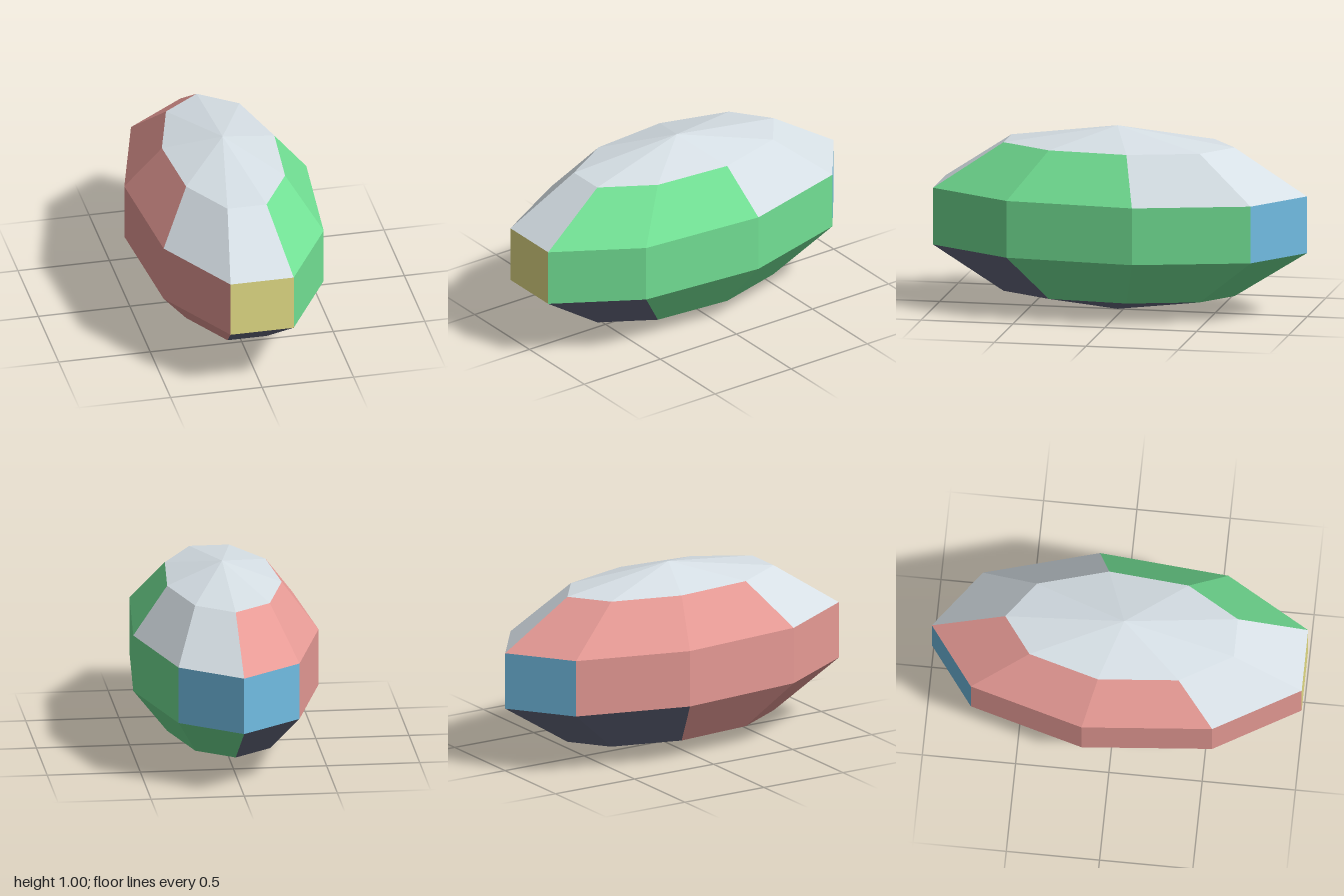
import * as THREE from 'three';

const SIDES = 9;
const BANDS = 5;
const RX = 0.531, RY = 0.5, RZ = 1.084;
const CENTRE_Z = 0.032;

const mat = (name, color) => {
  const m = new THREE.MeshStandardMaterial({ color, flatShading: true });
  m.name = name;
  return m;
};

// Point on the faceted ellipsoid; side 0 starts at the back corner and runs via +x to the front
function point(band, side) {
  const polar = (band / BANDS) * Math.PI;
  const turn = Math.PI - (side / SIDES) * Math.PI * 2;
  const r = Math.sin(polar);
  return [
    RX * r * Math.sin(turn),
    RY + RY * Math.cos(polar),
    CENTRE_Z + RZ * r * Math.cos(turn),
  ];
}

// Facet colours per band: four left facets (back to front), nose, four right facets (front to back)
const PATTERN = [
  'wwwwwwwww',
  'wwggwwrrr',
  'bgggyrrrb',
  'gggddrrdd',
  'ddddddddd',
];

export function createModel() {
  const group = new THREE.Group();
  group.name = 'facetedEllipsoid';

  const parts = {
    w: ['topShell', mat('pale grey', 0xd6dfe5)],
    g: ['leftPanels', mat('green', 0x72e094)],
    r: ['rightPanels', mat('salmon red', 0xe69a95)],
    y: ['frontPanel', mat('yellow', 0xe8e188)],
    b: ['backPanels', mat('sky blue', 0x71bde3)],
    d: ['bottomShell', mat('slate', 0x666a80)],
  };

  for (const [key, [name, material]] of Object.entries(parts)) {
    const positions = [];
    PATTERN.forEach((row, band) => {
      for (let side = 0; side < SIDES; side++) {
        if (row[side] !== key) continue;
        // Corners counter-clockwise from outside
        const a = point(band, side), b = point(band, side + 1);
        const c = point(band + 1, side + 1), d = point(band + 1, side);
        // Caps are triangles, the bands between them are quads
        if (band === 0) positions.push(...a, ...c, ...d);
        else if (band === BANDS - 1) positions.push(...a, ...b, ...d);
        else positions.push(...a, ...b, ...c, ...a, ...c, ...d);
      }
    });
    const geometry = new THREE.BufferGeometry();
    geometry.setAttribute('position', new THREE.Float32BufferAttribute(positions, 3));
    geometry.computeVertexNormals();
    const mesh = new THREE.Mesh(geometry, material);
    mesh.name = name;
    group.add(mesh);
  }
  return group;
}
